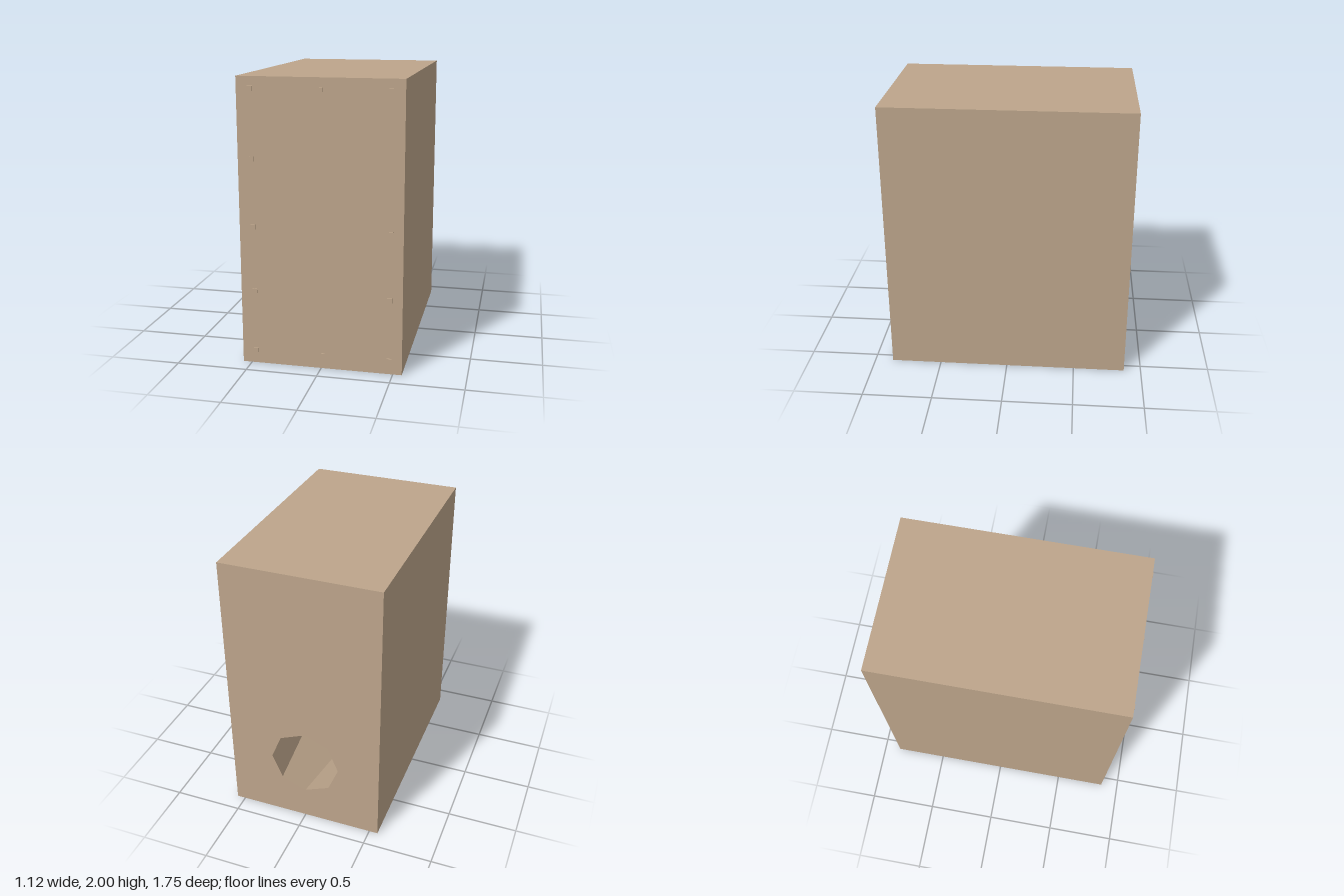
import * as THREE from 'three';

export function createModel() {
  const group = new THREE.Group();
  const wood = new THREE.MeshStandardMaterial({ color: 0xbda58b, flatShading: true, side: THREE.DoubleSide });
  wood.name = 'tan wood';

  const add = (name, geometry, x, y, z) => {
    const mesh = new THREE.Mesh(geometry, wood);
    mesh.name = name;
    mesh.position.set(x, y, z);
    group.add(mesh);
    return mesh;
  };

  const W = 1.125, H = 2, BACK = -0.875, FRONT = 0.867;
  const port = { x: -0.005, y: 0.497, r: 0.253, innerR: 0.43, depth: 0.72 };

  // Cabinet sides and front: a box with its back face (the last six indices) left out
  const cabinet = new THREE.BoxGeometry(W, H, FRONT - BACK);
  cabinet.setIndex(Array.from(cabinet.index.array).slice(0, 30));
  cabinet.clearGroups();
  add('cabinet', cabinet, 0, H / 2, (FRONT + BACK) / 2);

  // Back panel with an octagonal opening
  const panel = new THREE.Shape();
  panel.moveTo(-W / 2, 0).lineTo(W / 2, 0).lineTo(W / 2, H).lineTo(-W / 2, H).closePath();
  const opening = new THREE.Path();
  const corners = [];
  for (let i = 0; i < 8; i++) {
    const a = (i * Math.PI) / 4;
    // x is mirrored because the panel is turned to face backwards
    corners.push(new THREE.Vector2(-port.x + port.r * Math.cos(a), port.y + port.r * Math.sin(a)));
  }
  opening.setFromPoints(corners);
  panel.holes.push(opening);
  add('backPanel', new THREE.ShapeGeometry(panel).rotateY(Math.PI), 0, 0, BACK);

  // Port: eight-sided tunnel that widens inward, closed at its inner end
  const tunnel = new THREE.CylinderGeometry(port.innerR, port.r, port.depth, 8, 1, true).rotateX(Math.PI / 2);
  add('portTunnel', tunnel, port.x, port.y, BACK + port.depth / 2);
  add('portEnd', new THREE.CircleGeometry(port.innerR, 8).rotateY(Math.PI), port.x, port.y, BACK + port.depth);

  // Small square pegs around the front face
  const addPeg = (x, y, w, h) => add('frontPeg', new THREE.BoxGeometry(w, h, 0.014), x, y, FRONT + 0.002);
  for (const y of [0.096, 0.53, 0.987, 1.453, 1.92]) {
    for (const x of [-0.467, 0.475]) addPeg(x, y, 0.034, 0.034);
  }
  for (const y of [0.096, 1.92]) addPeg(0.013, y, 0.024, 0.028);

  return group;
}
